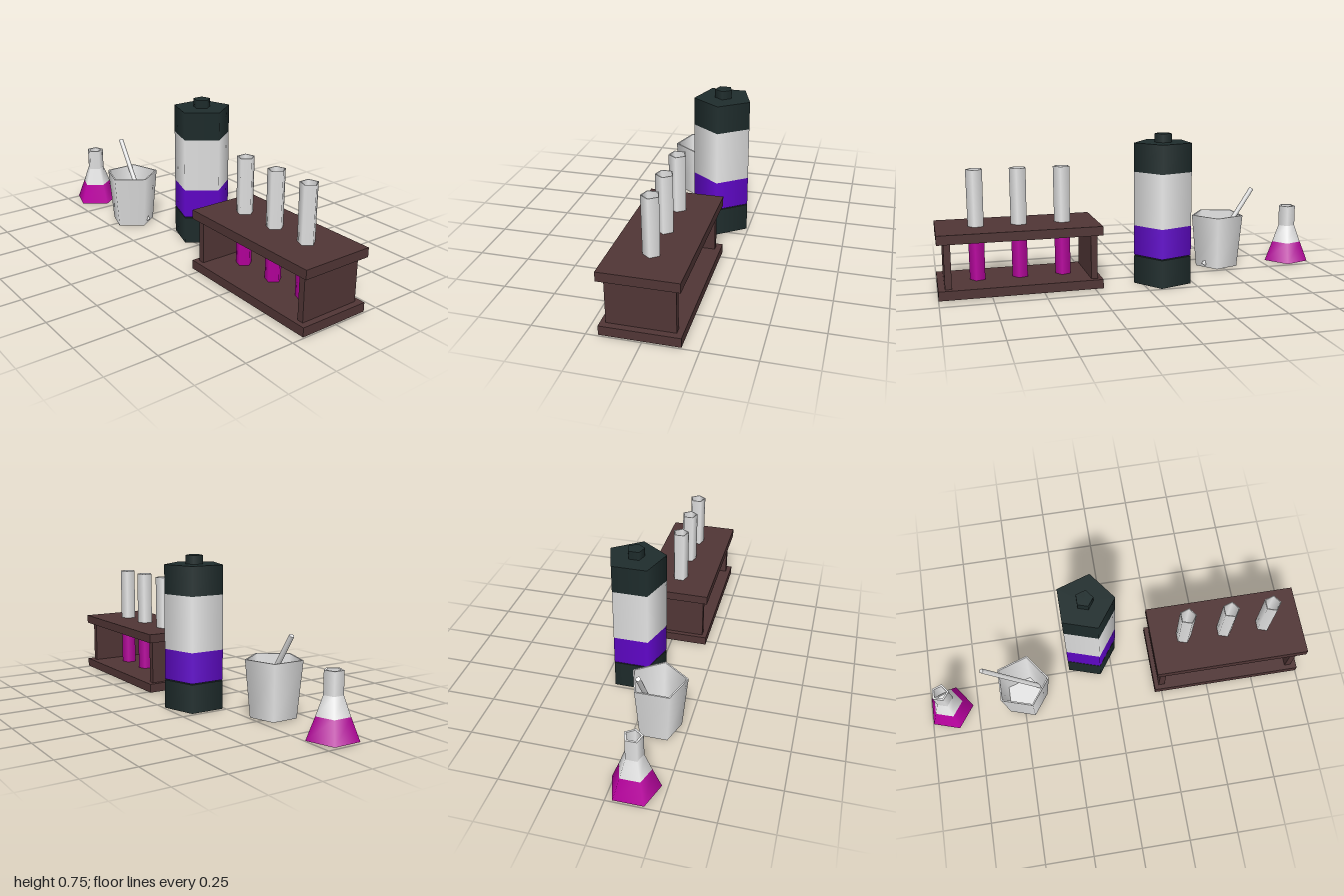
import * as THREE from 'three';

const mat = (name, color, side = THREE.FrontSide) => {
  const m = new THREE.MeshStandardMaterial({ color, side });
  m.name = name;
  return m;
};

export function createModel() {
  const glass = mat('paleGlass', 0xefefef, THREE.DoubleSide);
  const magenta = mat('magentaLiquid', 0xb8009f, THREE.DoubleSide);
  const violet = mat('violetLiquid', 0x6206cc);
  const dark = mat('darkMetal', 0x1f2d2d);
  const wood = mat('darkWood', 0x503535);

  const model = new THREE.Group();
  model.name = 'laboratorySet';

  const group = (name, x, z) => {
    const g = new THREE.Group();
    g.name = name;
    g.position.set(x, 0, z);
    model.add(g);
    return g;
  };
  const add = (parent, name, geo, material, x = 0, y = 0, z = 0) => {
    const m = new THREE.Mesh(geo, material);
    m.name = name;
    m.position.set(x, y, z);
    parent.add(m);
    return m;
  };
  // Five-sided prism or frustum with one corner toward +x
  const prism = (parent, name, material, r0, r1, y0, y1, open = false) =>
    add(parent, name,
      new THREE.CylinderGeometry(r1, r0, y1 - y0, 5, 1, open, Math.PI / 2),
      material, 0, (y0 + y1) / 2);
  // Flat five-sided ring joining inner and outer walls, or a floor when inner is 0
  const rim = (parent, name, inner, outer, y) =>
    add(parent, name, new THREE.RingGeometry(inner, outer, 5).rotateX(-Math.PI / 2), glass, 0, y);

  // Canister: capped lamp with a violet band
  const canister = group('canister', -0.112, -0.1);
  const R = 0.149;
  prism(canister, 'canisterBase', dark, R, R, 0, 0.142);
  prism(canister, 'canisterLiquid', violet, R, R, 0.147, 0.297);
  prism(canister, 'canisterGlass', glass, R, R, 0.297, 0.567);
  prism(canister, 'canisterCap', dark, R, R, 0.567, 0.71);
  prism(canister, 'canisterKnob', dark, 0.0445, 0.0445, 0.71, 0.753);

  // Conical flask with a recessed floor
  const flask = group('flask', -0.898, 0.107);
  prism(flask, 'flaskLiquid', magenta, 0.122, 0.08, 0.007, 0.112, true);
  prism(flask, 'flaskShoulder', glass, 0.08, 0.046, 0.112, 0.203, true);
  prism(flask, 'flaskNeck', glass, 0.046, 0.046, 0.203, 0.312, true);
  prism(flask, 'flaskInnerWall', glass, 0.114, 0.035, 0.007, 0.203, true);
  prism(flask, 'flaskInnerNeck', glass, 0.035, 0.035, 0.203, 0.312, true);
  rim(flask, 'flaskRim', 0.035, 0.046, 0.312);
  rim(flask, 'flaskFoot', 0.114, 0.122, 0.007);
  rim(flask, 'flaskFloor', 0, 0.109, 0.02);

  // Beaker with a recessed floor
  const beaker = group('beaker', -0.484, 0.107);
  prism(beaker, 'beakerWall', glass, 0.115, 0.142, 0.007, 0.287, true);
  prism(beaker, 'beakerInnerWall', glass, 0.107, 0.133, 0.007, 0.287, true);
  rim(beaker, 'beakerRim', 0.133, 0.142, 0.287);
  rim(beaker, 'beakerFoot', 0.107, 0.115, 0.007);
  rim(beaker, 'beakerFloor', 0, 0.1085, 0.022);

  // Stirring rod leaning on the beaker rim
  const a = new THREE.Vector3(-0.397, 0.02, 0.064);
  const b = new THREE.Vector3(-0.665, 0.425, 0.064);
  const rod = add(model, 'stirringRod',
    new THREE.CylinderGeometry(0.013, 0.013, a.distanceTo(b), 5), glass);
  rod.position.copy(a).lerp(b, 0.5);
  rod.quaternion.setFromUnitVectors(new THREE.Vector3(0, 1, 0), b.clone().sub(a).normalize());

  // Wooden rack: two boards and two end panels
  const rack = group('rack', 0.606, 0.01);
  const board = () => new THREE.BoxGeometry(0.788, 0.045, 0.365);
  add(rack, 'rackBase', board(), wood, 0, 0.0285);
  add(rack, 'rackTop', board(), wood, 0, 0.2945);
  for (const s of [-1, 1])
    add(rack, s > 0 ? 'leftPanel' : 'rightPanel',
      new THREE.BoxGeometry(0.032, 0.23, 0.313), wood, s * 0.3505 - 0.004, 0.161, 0.0015);

  // Test tubes standing through both boards, with narrowed closed ends
  for (const x of [0.38, 0.595, 0.803]) {
    const tube = group('testTube', x, 0.006);
    prism(tube, 'tubeFoot', glass, 0.028, 0.04, 0.004, 0.05, true);
    prism(tube, 'tubeLiquid', magenta, 0.04, 0.0412, 0.05, 0.245, true);
    prism(tube, 'tubeGlass', glass, 0.0412, 0.043, 0.245, 0.595, true);
    prism(tube, 'tubeInnerWall', glass, 0.035, 0.038, 0.05, 0.595, true);
    rim(tube, 'tubeRim', 0.038, 0.043, 0.595);
    rim(tube, 'tubeEnd', 0, 0.028, 0.004);
  }
  return model;
}
